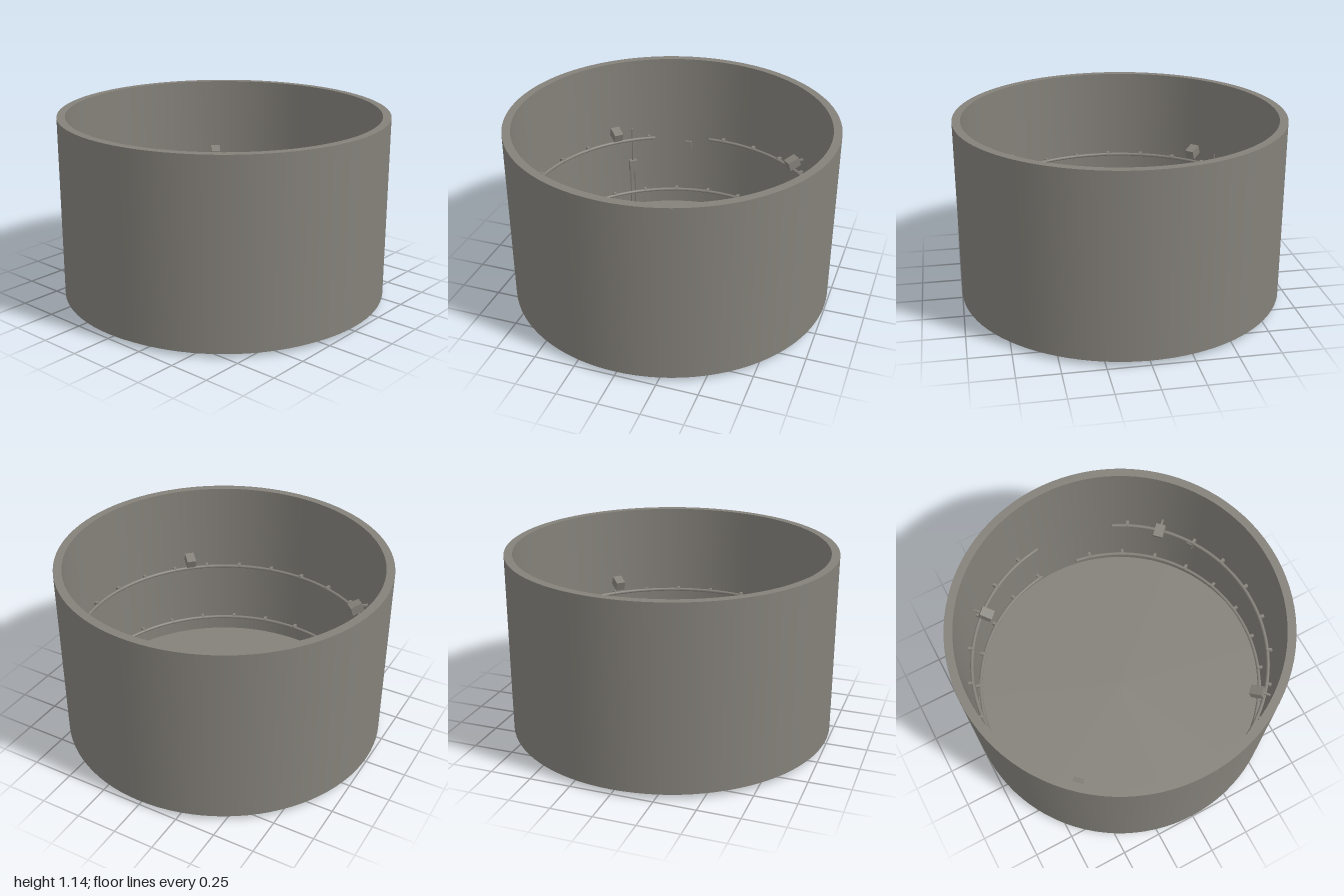
import * as THREE from 'three';

export function createModel() {
  const model = new THREE.Group();
  const grey = new THREE.MeshStandardMaterial({ color: 0x84817a });
  grey.name = 'warm grey';

  const add = (geometry, name, parent = model, x = 0, y = 0, z = 0) => {
    const mesh = new THREE.Mesh(geometry, grey);
    mesh.name = name;
    mesh.position.set(x, y, z);
    parent.add(mesh);
    return mesh;
  };

  // Group on the inner wall: local +x points outward at the given angle (0 = +x, 90 = +z)
  const onWall = (name, degrees, y) => {
    const group = new THREE.Group();
    group.name = name;
    group.rotation.y = -THREE.MathUtils.degToRad(degrees);
    group.position.y = y;
    model.add(group);
    return group;
  };

  // Tank wall: straight hollow cylinder, each surface separate so edges stay sharp
  const SIDES = 96, OUTER = 1, INNER = 0.95, LOW = 0.03, TOP = 1.145;
  const ring = (points, name) =>
    add(new THREE.LatheGeometry(points.map((p) => new THREE.Vector2(...p)), SIDES), name);
  ring([[OUTER, LOW], [OUTER, TOP]], 'outerWall');
  ring([[OUTER, TOP], [INNER, TOP]], 'rim');
  ring([[INNER, TOP], [INNER, LOW]], 'innerWall');
  ring([[INNER, LOW], [OUTER, LOW]], 'wallUnderside');

  // Base plate, whose top is the floor
  add(new THREE.CylinderGeometry(0.95, 0.95, 0.035, SIDES), 'basePlate', model, 0, 0.0175, 0);

  // Pipes running round the inner wall, with clips
  const pipe = (name, from, to, y) => {
    const count = Math.ceil((to - from) / 6);
    const points = [];
    for (let i = 0; i <= count; i++) {
      const a = THREE.MathUtils.degToRad(from + ((to - from) * i) / count);
      points.push(new THREE.Vector3(0.92 * Math.cos(a), y, 0.92 * Math.sin(a)));
    }
    const path = new THREE.CatmullRomCurve3(points);
    add(new THREE.TubeGeometry(path, count * 2, 0.011, 8), name);
    // End caps
    for (const end of [points[0], points[count]]) {
      add(new THREE.SphereGeometry(0.011, 8, 6), name + 'End', model, end.x, end.y, end.z);
    }
    for (let a = from + 6; a < to; a += 14) {
      const clip = onWall('pipeClip', a, y);
      add(new THREE.BoxGeometry(0.035, 0.026, 0.018), 'clipBlock', clip, 0.932, 0, 0);
    }
  };
  pipe('upperPipeLong', 25, 243, 0.57);
  pipe('upperPipeShort', 267.5, 352, 0.57);
  pipe('lowerPipe', 9, 352, 0.15);

  // Four tilted lamps at the diagonals
  for (const a of [45, 135, 225, 315]) {
    const lamp = onWall('lamp', a, 0.66);
    const head = add(new THREE.BoxGeometry(0.08, 0.06, 0.06), 'lampHead', lamp, 0.87, 0, 0);
    head.rotation.z = 0.35;
    add(new THREE.BoxGeometry(0.05, 0.012, 0.012), 'lampArm', lamp, 0.925, 0.005, 0);
  }

  // Small wall plates
  for (const [a, y] of [[258, 0.5], [57, 0.47]]) {
    const plate = onWall('wallPlate', a, y);
    add(new THREE.BoxGeometry(0.015, 0.06, 0.045), 'plate', plate, 0.943, 0, 0);
  }

  // Junction box with a riser above and two pipes below
  const junction = onWall('junctionBox', 233.7, 0);
  add(new THREE.BoxGeometry(0.035, 0.08, 0.055), 'box', junction, 0.93, 0.365, 0);
  add(new THREE.CylinderGeometry(0.006, 0.006, 0.25, 8), 'riser', junction, 0.935, 0.525, 0);
  for (const side of [-1, 1]) {
    add(new THREE.CylinderGeometry(0.006, 0.006, 0.3, 8), 'dropPipe', junction, 0.935, 0.18, side * 0.015);
  }
  return model;
}
